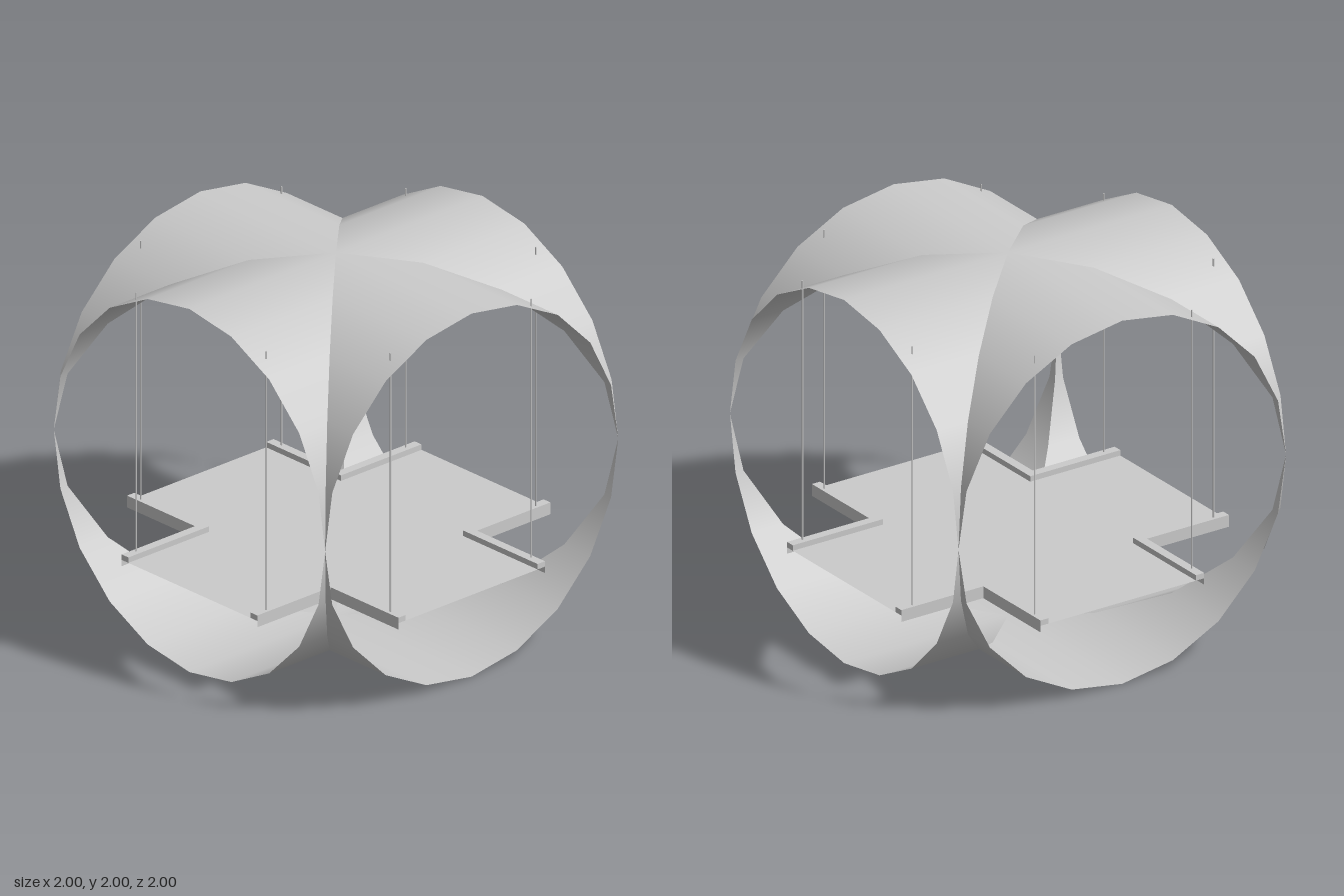
import * as THREE from 'three';

const SIDES = 20;
const FLOOR_Y = 0.45;
const material = new THREE.MeshStandardMaterial({ color: 0xcccccc, side: THREE.DoubleSide });

function addMesh(parent, name, geometry, x = 0, y = 0, z = 0) {
  const mesh = new THREE.Mesh(geometry, material);
  mesh.name = name;
  mesh.position.set(x, y, z);
  parent.add(mesh);
  return mesh;
}

// One arm of two crossed tubes: a 20-sided tube cut along the diagonal groins
function lobeGeometry() {
  const positions = [], normals = [], index = [];
  for (let i = 0; i <= SIDES; i++) {
    const a = (i / SIDES) * Math.PI * 2;
    const x = Math.sin(a), c = Math.cos(a);
    positions.push(x, 1 + c, Math.abs(x), x, 1 + c, 1);
    normals.push(x, c, 0, x, c, 0);
    if (i < SIDES) {
      const k = 2 * i;
      index.push(k, k + 1, k + 2, k + 1, k + 3, k + 2);
    }
  }
  const g = new THREE.BufferGeometry();
  g.setAttribute('position', new THREE.Float32BufferAttribute(positions, 3));
  g.setAttribute('normal', new THREE.Float32BufferAttribute(normals, 3));
  g.setIndex(index);
  return g;
}

// Cross-shaped floor: a square with its four corners notched out
function floorGeometry() {
  const shape = new THREE.Shape();
  const corner = [[1, 0.5], [0.5, 0.5], [0.5, 1]];
  const points = [];
  for (let q = 0; q < 4; q++) {
    const a = q * Math.PI / 2;
    for (const [x, y] of corner) {
      points.push(new THREE.Vector2(x, y).rotateAround(new THREE.Vector2(), a));
    }
  }
  shape.setFromPoints(points);
  return new THREE.ShapeGeometry(shape).rotateX(-Math.PI / 2);
}

export function createModel() {
  const model = new THREE.Group();
  model.name = 'crossedVaultPavilion';

  // Shell
  const shell = new THREE.Group();
  shell.name = 'shell';
  const lobe = lobeGeometry();
  for (let q = 0; q < 4; q++) {
    addMesh(shell, 'vaultArm', lobe).rotation.y = q * Math.PI / 2;
  }
  model.add(shell);

  // Hanging floor
  addMesh(model, 'floor', floorGeometry(), 0, FLOOR_Y, 0);

  // Rail, skirt and cables around each corner notch
  const longRail = new THREE.BoxGeometry(0.55, 0.03, 0.05);
  const shortRail = new THREE.BoxGeometry(0.05, 0.03, 0.5);
  const skirtX = new THREE.PlaneGeometry(0.5, 0.065);
  const skirtZ = new THREE.PlaneGeometry(0.5, 0.065).rotateY(Math.PI / 2);
  const cable = new THREE.CylinderGeometry(0.004, 0.004, 1.45, 6);
  for (let q = 0; q < 4; q++) {
    const corner = new THREE.Group();
    corner.name = 'notchCorner';
    corner.rotation.y = q * Math.PI / 2;
    addMesh(corner, 'rail', longRail, 0.725, 0.465, 0.475);
    addMesh(corner, 'rail', shortRail, 0.475, 0.465, 0.75);
    addMesh(corner, 'skirt', skirtX, 0.75, 0.4475, 0.5);
    addMesh(corner, 'skirt', skirtZ, 0.5, 0.4475, 0.75);
    addMesh(corner, 'cable', cable, 0.92, 1.18, 0.48);
    addMesh(corner, 'cable', cable, 0.48, 1.18, 0.92);
    model.add(corner);
  }
  return model;
}
